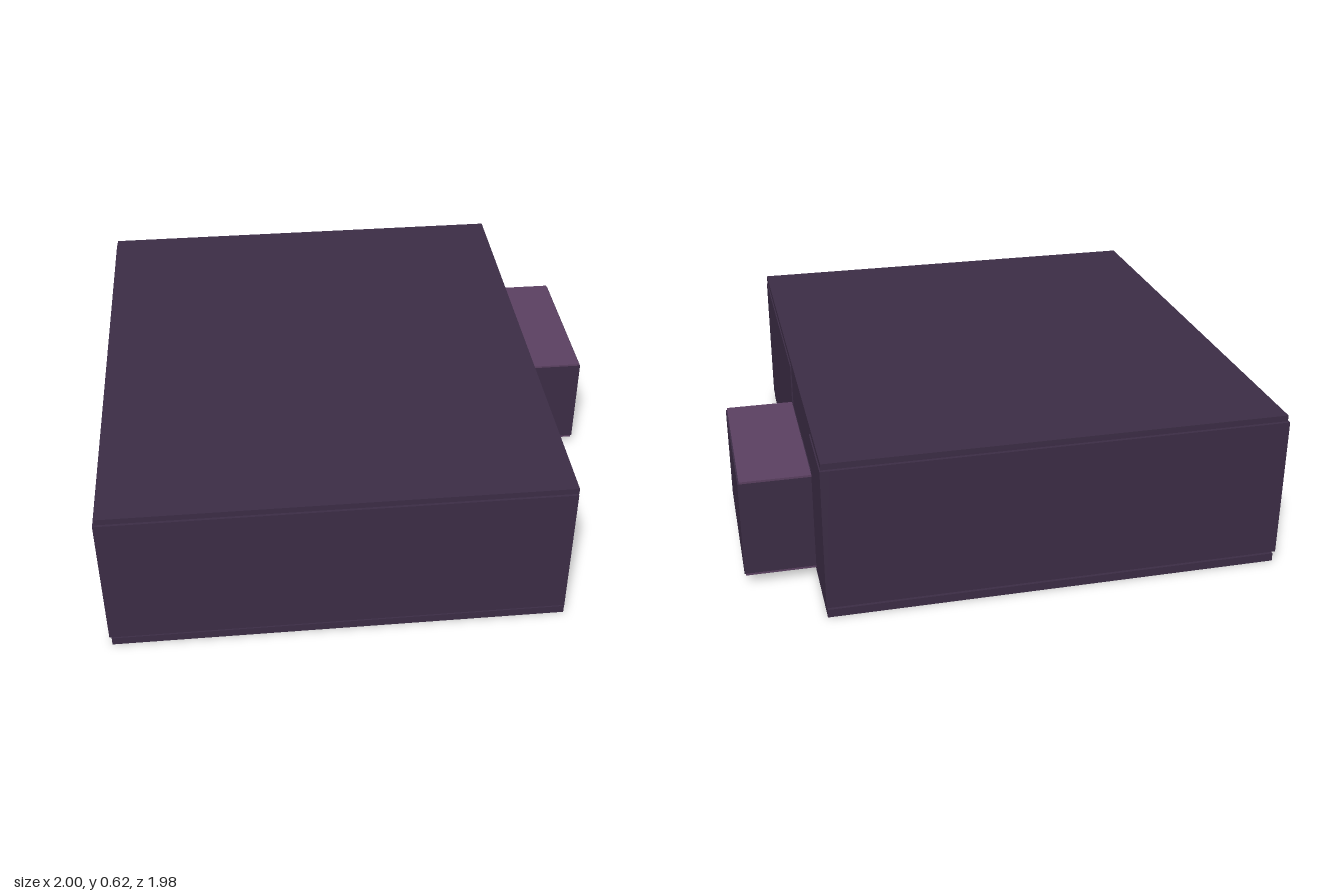
import * as THREE from 'three';

export function createModel() {
  const model = new THREE.Group();
  const dark = new THREE.MeshStandardMaterial({ color: 0x3c2d46 });
  dark.name = 'dark plum';
  const light = new THREE.MeshStandardMaterial({ color: 0x5c4162 });
  light.name = 'light plum';

  // Box given by its extents on each axis
  function block(parent, name, [x0, x1], [y0, y1], [z0, z1], material = dark) {
    const mesh = new THREE.Mesh(new THREE.BoxGeometry(x1 - x0, y1 - y0, z1 - z0), material);
    mesh.position.set((x0 + x1) / 2, (y0 + y1) / 2, (z0 + z1) / 2);
    mesh.name = name;
    parent.add(mesh);
  }

  // Floor and roof slabs, with a recessed inner floor and ceiling filling the seams
  const slabX = [-0.993, 0.728], slabZ = [-0.983, 0.983];
  block(model, 'floorSlab', slabX, [0, 0.032], slabZ);
  block(model, 'roofSlab', slabX, [0.597, 0.62], slabZ);
  block(model, 'innerFloor', [-0.97, 0.705], [0.032, 0.046], [-0.96, 0.96]);
  block(model, 'innerCeiling', [-0.97, 0.705], [0.588, 0.597], [-0.96, 0.96]);

  // Outer walls; the one on +x is split around the doorway
  const walls = new THREE.Group();
  walls.name = 'walls';
  model.add(walls);
  const wallY = [0.043, 0.593];
  const sideX = [0.70, 0.732];
  block(walls, 'frontWall', [-1, 0.727], wallY, [0.96, 0.988]);
  block(walls, 'backWall', [-0.97, 0.70], wallY, [-0.988, -0.96]);
  block(walls, 'farSideWall', [-1, -0.97], wallY, [-0.988, 0.96]);
  block(walls, 'doorWallFront', sideX, wallY, [-0.055, 0.96]);
  block(walls, 'doorWallBack', sideX, wallY, [-0.988, -0.685]);
  block(walls, 'doorLintel', [0.70, 0.727], [0.42, 0.593], [-0.685, -0.055]);

  // Entrance annex: dark walls between lighter floor and roof plates
  const annex = new THREE.Group();
  annex.name = 'annex';
  model.add(annex);
  const annexX = [0.732, 0.995], annexZ = [-0.697, -0.047];
  const annexY = [0.046, 0.424];
  block(annex, 'annexFloor', annexX, [0.038, 0.046], annexZ, light);
  block(annex, 'annexRoof', annexX, [0.424, 0.432], annexZ, light);
  block(annex, 'annexEndWall', [0.975, 1], annexY, annexZ);
  block(annex, 'annexFrontWall', [0.732, 0.975], annexY, [-0.067, -0.047]);
  block(annex, 'annexBackWall', [0.732, 0.975], annexY, [-0.697, -0.677]);

  return model;
}
